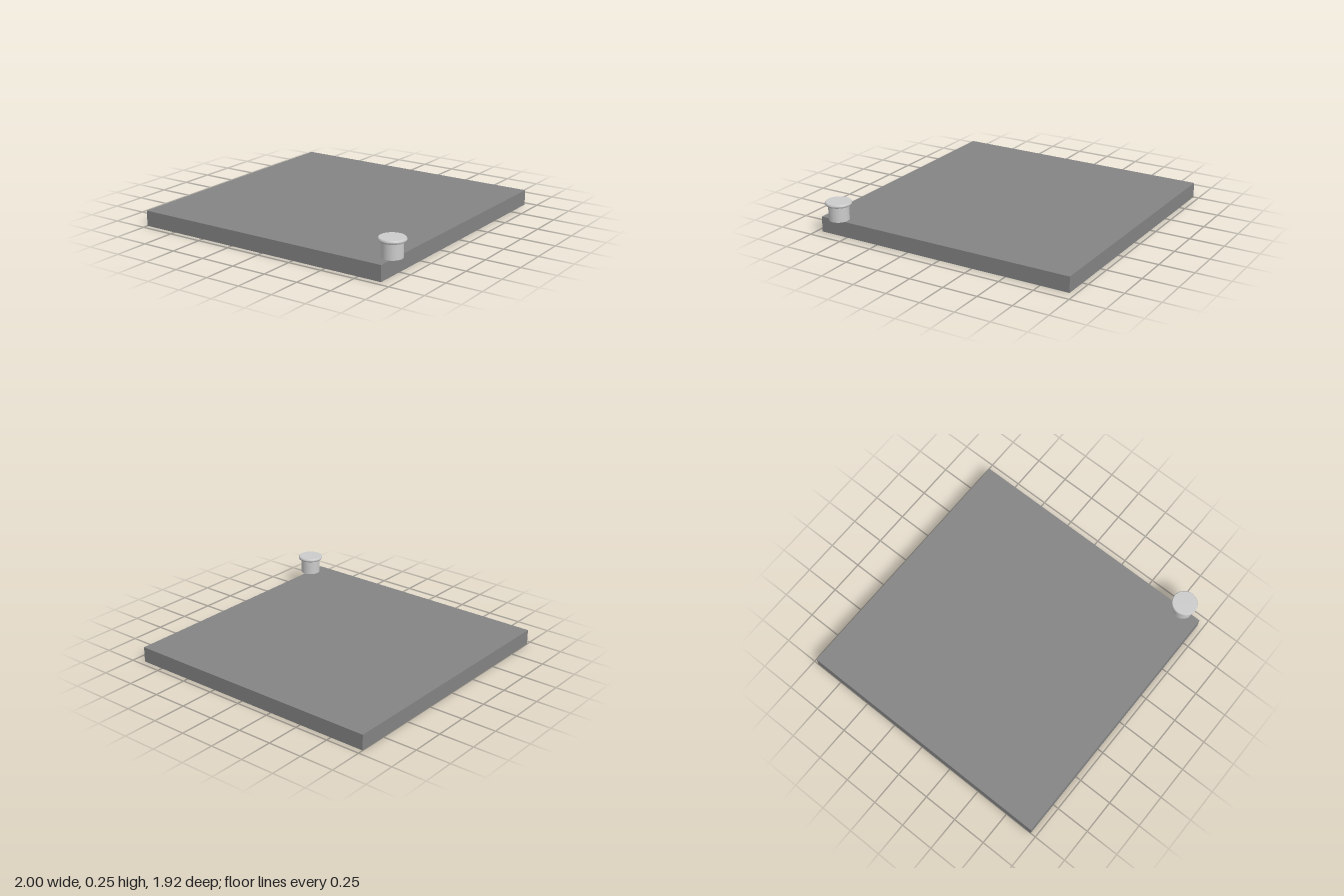
import * as THREE from 'three';
import { toCreasedNormals } from 'three/addons/utils/BufferGeometryUtils.js';

export function createModel() {
  const model = new THREE.Group();

  // Flat square slab
  const slab = new THREE.Mesh(
    new THREE.BoxGeometry(1.92, 0.11, 1.92),
    new THREE.MeshStandardMaterial({ color: 0x848484 })
  );
  slab.name = 'slab';
  slab.position.set(-0.04, 0.055, 0);
  model.add(slab);

  const grey = new THREE.MeshStandardMaterial({ color: 0xcccccc });
  const knob = new THREE.Group();
  knob.name = 'knob';
  knob.position.set(0.908, 0.118, 0.818);
  model.add(knob);

  // Round stem, floating just above the slab
  const stem = new THREE.Mesh(new THREE.CylinderGeometry(0.071, 0.071, 0.108, 48), grey);
  stem.name = 'knobStem';
  stem.position.y = 0.054;
  knob.add(stem);

  // Wider cap with a softened rim
  const profile = [
    [0, 0.107], [0.086, 0.107], [0.09, 0.111], [0.092, 0.117],
    [0.092, 0.121], [0.09, 0.127], [0.086, 0.131], [0, 0.131],
  ].map(([r, y]) => new THREE.Vector2(r, y));
  const cap = new THREE.Mesh(
    toCreasedNormals(new THREE.LatheGeometry(profile, 48), 0.7),
    grey
  );
  cap.name = 'knobCap';
  knob.add(cap);

  return model;
}
